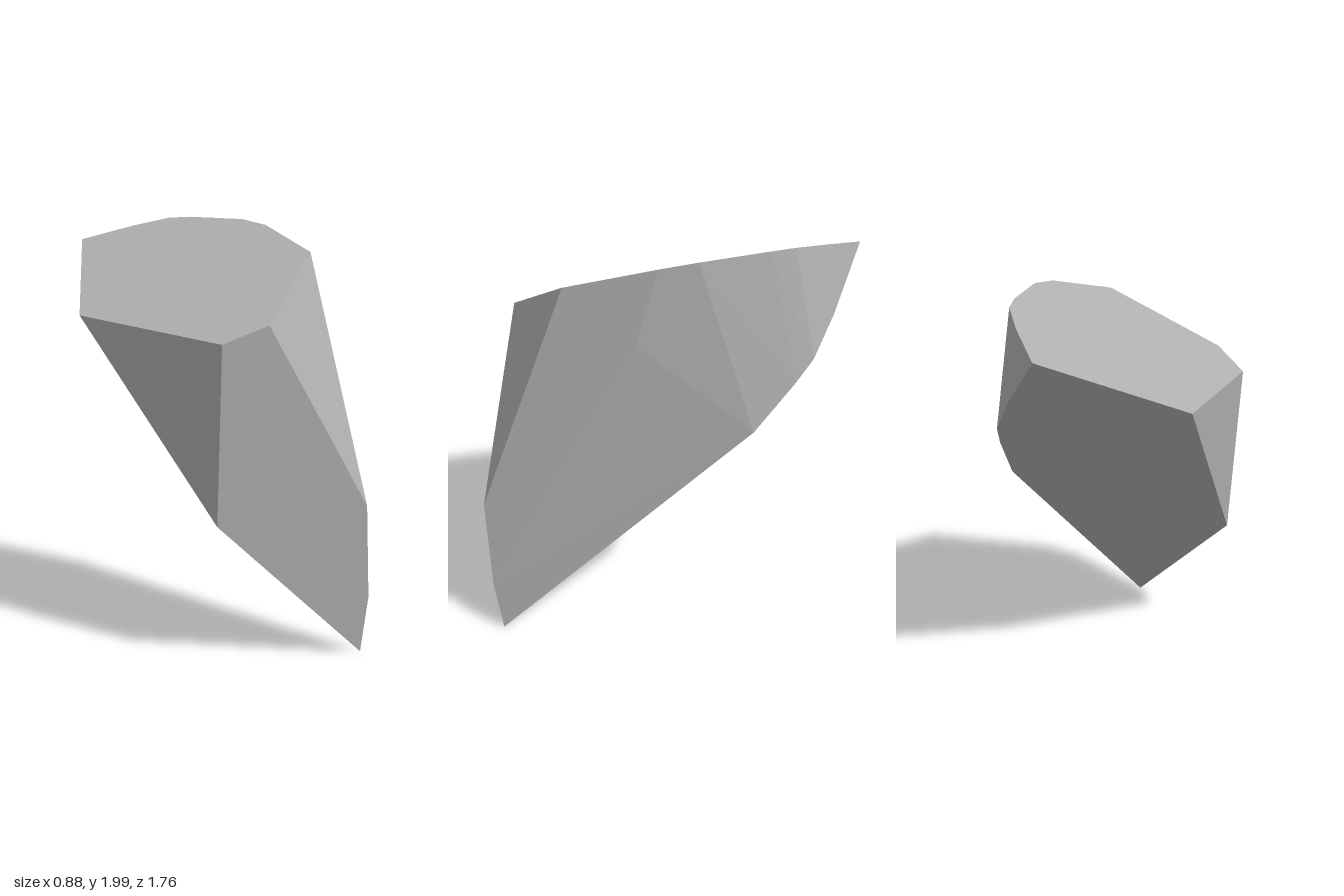
import * as THREE from 'three';
import { ConvexGeometry } from 'three/addons/geometries/ConvexGeometry.js';

export function createModel() {
  const group = new THREE.Group();
  group.name = 'rockShard';
  const stone = new THREE.MeshStandardMaterial({ color: 0xb0b0b0 });
  stone.name = 'grey stone';

  // The three large cleaved planes of the shard
  const onTop = ([x, z]) => new THREE.Vector3(x, 1.733 + 0.54 * x - 0.158 * z, z);
  const onUnderside = ([x, z]) => new THREE.Vector3(x, 1.018 - 0.552 * x - 0.99 * z, z);
  const onFront = ([x, y]) => new THREE.Vector3(x, y, 0.633 + 0.564 * x + 0.105 * y);

  // Rim of the top face, from the back tip round the rounded side
  const topRim = [
    [0.015, -0.88], [0.2, -0.69], [0.32, -0.54], [0.365, -0.42], [0.437, 0.06],
    [0.437, -0.11], [0.335, 0.47], [-0.15, 0.705], [-0.33, 0.6], [-0.44, -0.285],
  ].map(onTop);

  // Rim of the sloping underside along the rounded side
  const lowerRim = [[0.23, -0.74], [0.345, -0.64], [0.38, -0.56], [0.437, -0.37]].map(onUnderside);

  // Lower corners of the front face, with the foot point
  const frontCorners = [[-0.295, 0.64], [0.305, 0.71], [0.35, 0.27], [0.338, 0.004]].map(onFront);

  // Corner where the curved side facets meet
  const sideCorner = new THREE.Vector3(0.437, 1.6, 0.16);

  const shard = new THREE.Mesh(
    new ConvexGeometry([...topRim, ...lowerRim, ...frontCorners, sideCorner]), stone);
  shard.name = 'shard';
  group.add(shard);
  return group;
}
